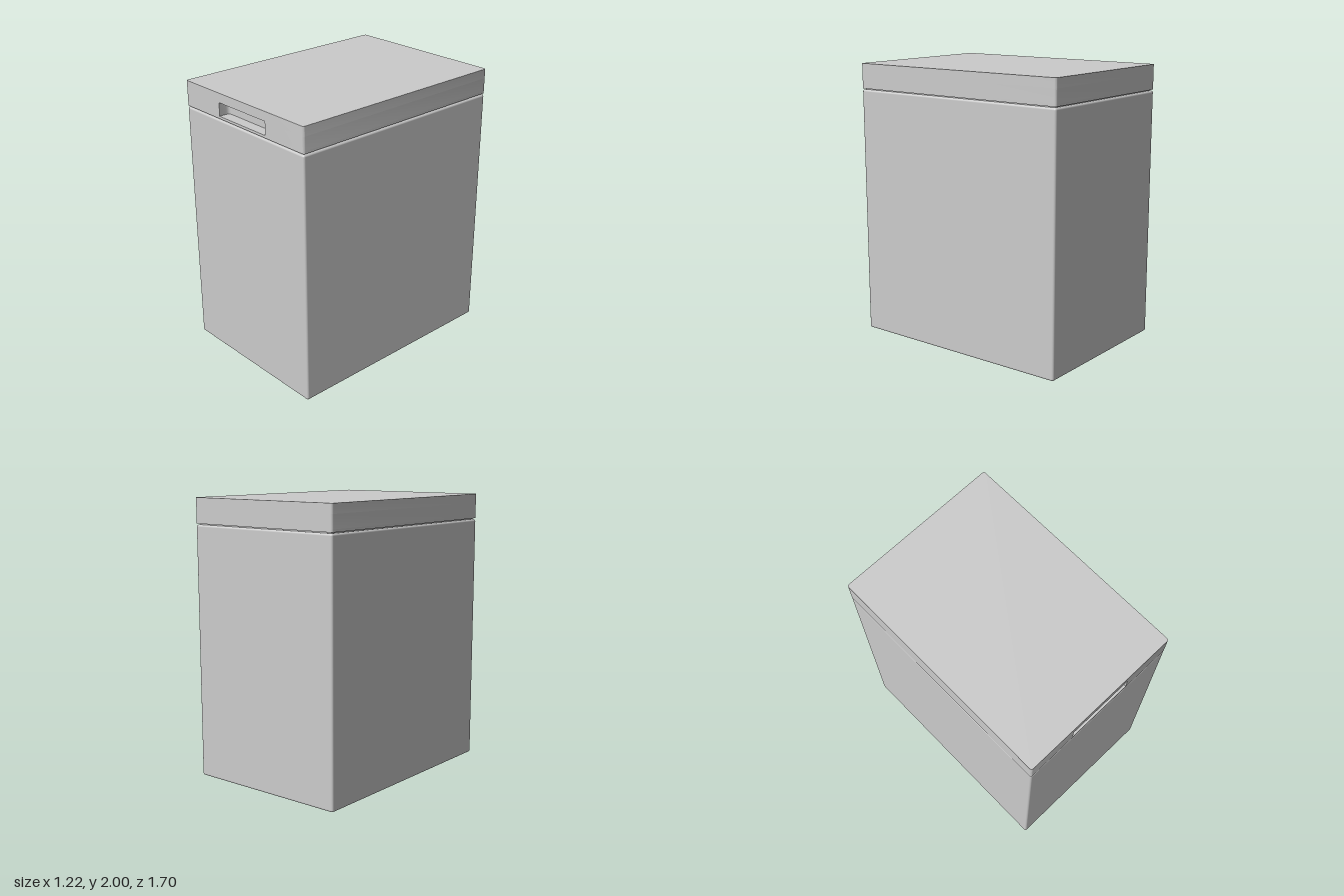
import * as THREE from 'three';
import { toCreasedNormals } from 'three/addons/utils/BufferGeometryUtils.js';
import { RoundedBoxGeometry } from 'three/addons/geometries/RoundedBoxGeometry.js';

const W = 0.61, D = 0.85; // half width and half depth
const material = new THREE.MeshStandardMaterial({ color: 0xcccccc });

function addMesh(parent, name, geometry, y = 0) {
  const mesh = new THREE.Mesh(geometry, material);
  mesh.name = name;
  mesh.position.y = y;
  parent.add(mesh);
  return mesh;
}

// Plan outline with rounded corners; the front edge (negative shape y) may hold a grip notch
function lidPlan(notch) {
  const r = 0.015, s = new THREE.Shape();
  s.moveTo(-W + r, -D);
  if (notch) {
    const { half, depth, radius } = notch, back = -D + depth;
    s.lineTo(-half, -D);
    s.lineTo(-half, back - radius);
    s.quadraticCurveTo(-half, back, -half + radius, back);
    s.lineTo(half - radius, back);
    s.quadraticCurveTo(half, back, half, back - radius);
    s.lineTo(half, -D);
  }
  s.lineTo(W - r, -D);
  s.quadraticCurveTo(W, -D, W, -D + r);
  s.lineTo(W, D - r);
  s.quadraticCurveTo(W, D, W - r, D);
  s.lineTo(-W + r, D);
  s.quadraticCurveTo(-W, D, -W, D - r);
  s.lineTo(-W, -D + r);
  s.quadraticCurveTo(-W, -D, -W + r, -D);
  return s;
}

function lidLayer(height, notch) {
  const g = new THREE.ExtrudeGeometry(lidPlan(notch), { depth: height, bevelEnabled: false, curveSegments: 4 });
  g.rotateX(-Math.PI / 2);
  return toCreasedNormals(g, 0.6);
}

export function createModel() {
  const model = new THREE.Group();
  model.name = 'bin';

  // Main body with softened edges
  addMesh(model, 'body', new RoundedBoxGeometry(2 * W, 1.812, 2 * D, 3, 0.015), 0.906);

  // Recessed neck forming the shadow gap under the lid
  addMesh(model, 'lidGap', new THREE.BoxGeometry(2 * W - 0.04, 0.02, 2 * D - 0.04), 1.811);

  // Lid in three layers, the middle one notched for the front grip
  const lid = new THREE.Group();
  lid.name = 'lid';
  model.add(lid);
  const grip = { half: 0.24, depth: 0.08, radius: 0.025 };
  const layers = [
    ['lidRim', 1.82, 1.838, null],
    ['lidGrip', 1.838, 1.933, grip],
    ['lidTop', 1.933, 2, null],
  ];
  for (const [name, y0, y1, notch] of layers) addMesh(lid, name, lidLayer(y1 - y0, notch), y0);

  return model;
}
